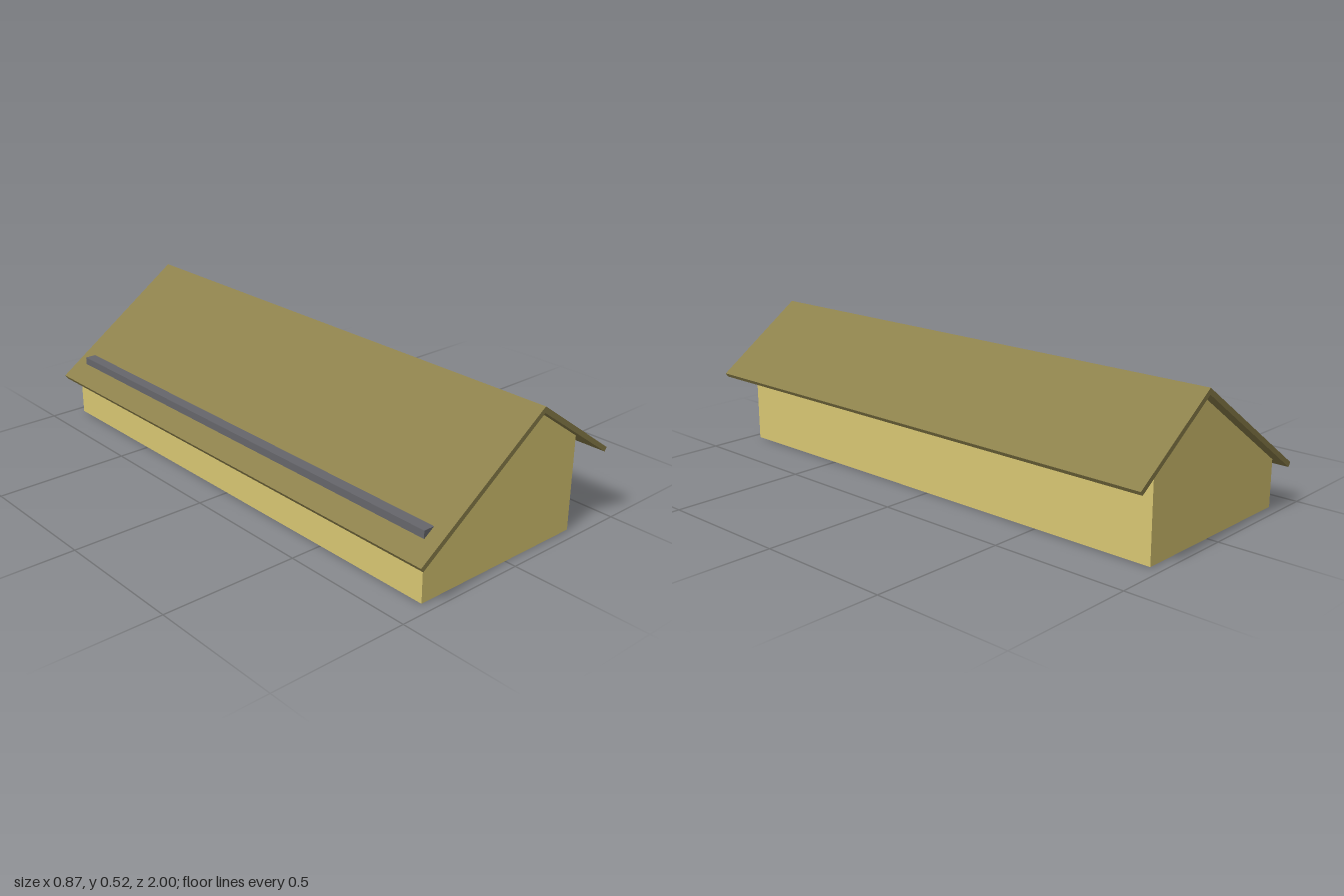
import * as THREE from 'three';

// Extrude an x/y outline along z, centred on z = 0
function prism(name, points, length, color) {
  const shape = new THREE.Shape(points.map(([x, y]) => new THREE.Vector2(x, y)));
  const geometry = new THREE.ExtrudeGeometry(shape, { depth: length, bevelEnabled: false });
  geometry.translate(0, 0, -length / 2);
  const mesh = new THREE.Mesh(geometry, new THREE.MeshStandardMaterial({ color, flatShading: true }));
  mesh.name = name;
  return mesh;
}

function box(name, [x0, x1], [y0, y1], length, color) {
  return prism(name, [[x0, y0], [x1, y0], [x1, y1], [x0, y1]], length, color);
}

export function createModel() {
  const model = new THREE.Group();
  model.name = 'longHouse';

  // Walls with an off-centre gable
  model.add(prism('walls', [
    [-0.383, 0.002], [0.312, 0.002], [0.312, 0.348], [0.09, 0.503], [-0.383, 0.175],
  ], 1.92, 0xd8c672));

  // Dark floor, slightly inset from the walls
  model.add(box('floor', [-0.375, 0.304], [0, 0.01], 1.904, 0x484848));

  // Two roof slopes meeting at the ridge, with overhanging eaves
  const roofColor = 0x8c804b;
  model.add(prism('roofRight', [
    [0.09, 0.525], [-0.434, 0.16], [-0.424, 0.145], [0.09, 0.503],
  ], 2, roofColor));
  model.add(prism('roofLeft', [
    [0.09, 0.525], [0.09, 0.503], [0.423, 0.27], [0.432, 0.284],
  ], 2, roofColor));

  // Rail along the lower slope, sunk into the roof
  model.add(box('roofRail', [-0.365, -0.323], [0.209, 0.237], 1.885, 0x66666b));

  return model;
}
